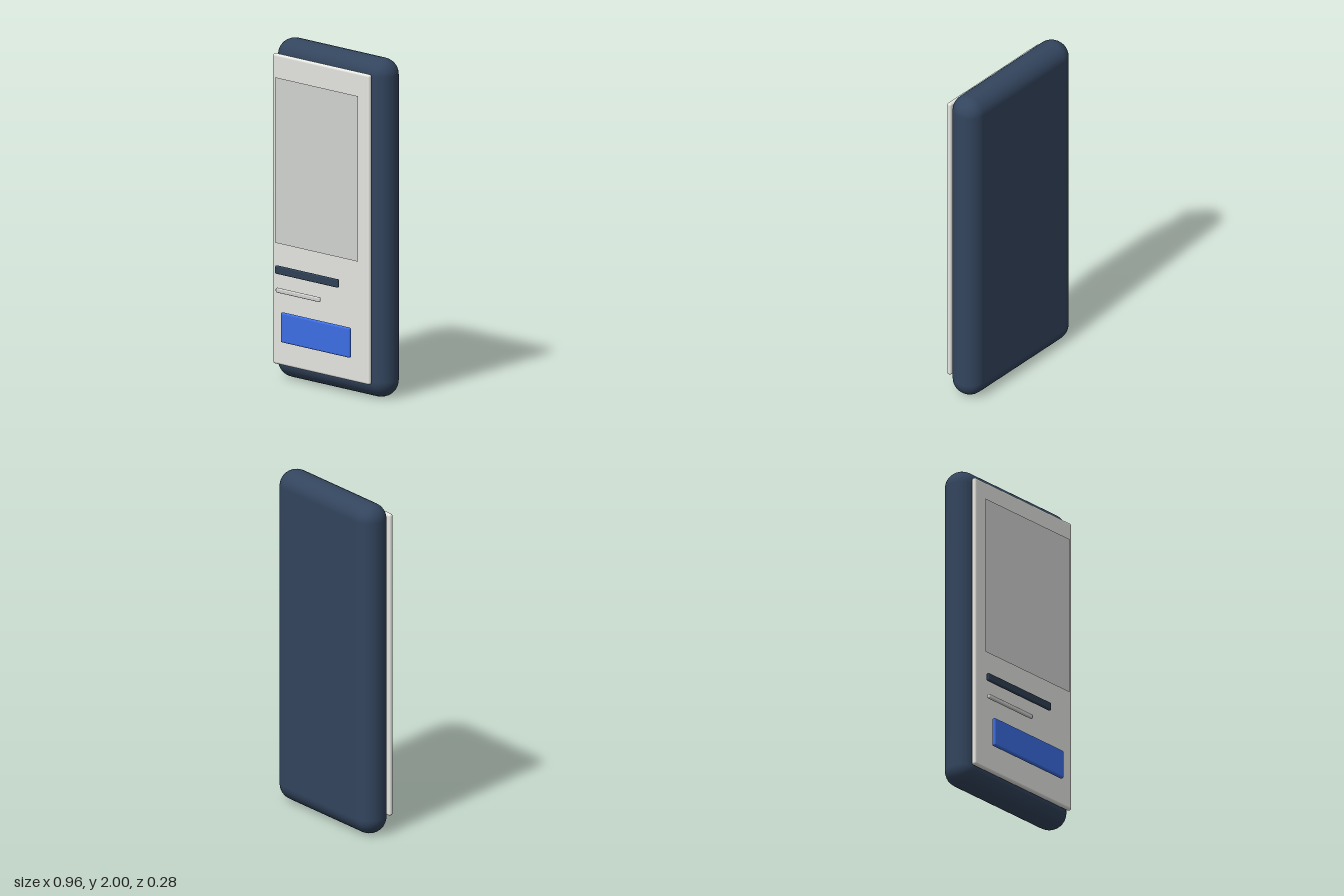
import * as THREE from 'three';
import { RoundedBoxGeometry } from 'three/addons/geometries/RoundedBoxGeometry.js';

function material(name, color) {
  const m = new THREE.MeshStandardMaterial({ color });
  m.name = name;
  return m;
}

export function createModel() {
  const group = new THREE.Group();
  group.name = 'handheldDevice';

  const navy = material('navy', 0x33455e);
  const slate = material('slate', 0x2f4156);
  const offWhite = material('offWhite', 0xf2f2ee);
  const paleGrey = material('paleGrey', 0xd4d6d4);
  const blue = material('blue', 0x3d6fe6);

  // Rounded slab given by its extents [min, max] on each axis
  function slab(name, mat, [x0, x1], [y0, y1], [z0, z1], radius, segments = 4) {
    const geometry = new RoundedBoxGeometry(x1 - x0, y1 - y0, z1 - z0, segments, radius);
    const mesh = new THREE.Mesh(geometry, mat);
    mesh.name = name;
    mesh.position.set((x0 + x1) / 2, (y0 + y1) / 2, (z0 + z1) / 2);
    group.add(mesh);
  }

  // Case with fully rounded sides
  slab('body', navy, [-0.482, 0.482], [0, 2], [-0.143, 0.056], 0.099);

  // Screen panel floating just ahead of the case
  slab('screen', offWhite, [-0.427, 0.427], [0.09, 1.92], [0.064, 0.094], 0.014);

  // Picture area: a flat sheet facing forward
  const picture = new THREE.Mesh(new THREE.PlaneGeometry(0.736, 0.976), paleGrey);
  picture.name = 'picturePanel';
  picture.position.set(0, 1.303, 0.125);
  group.add(picture);

  // Heading bar, caption bar and button
  slab('headingBar', slate, [-0.356, 0.199], [0.635, 0.684], [0.118, 0.137], 0.008);
  slab('captionBar', paleGrey, [-0.351, 0.037], [0.525, 0.553], [0.119, 0.137], 0.008);
  slab('button', blue, [-0.305, 0.305], [0.238, 0.415], [0.116, 0.14], 0.011);

  return group;
}
